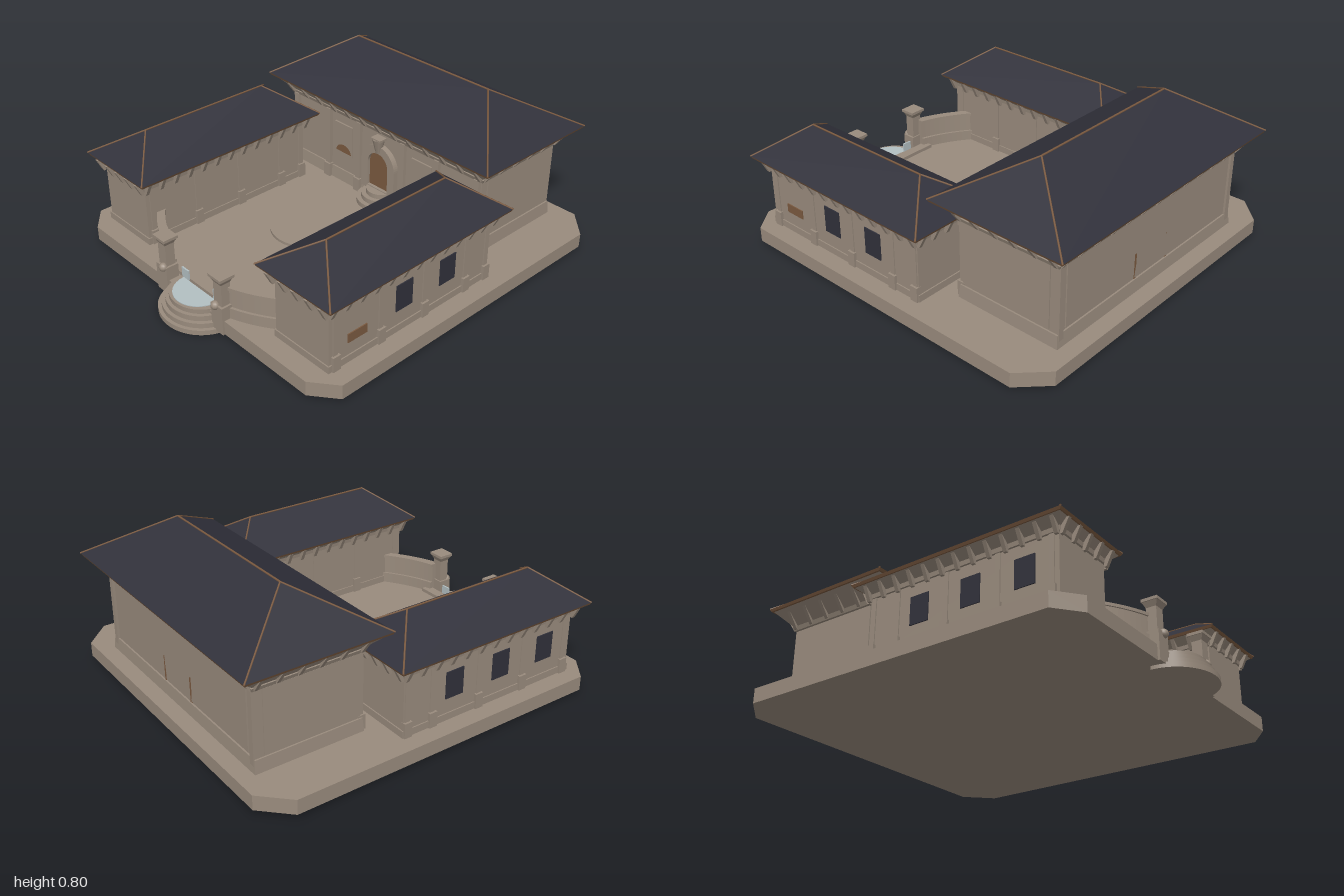
import * as THREE from 'three';

const mat = (name, color) => {
  const m = new THREE.MeshStandardMaterial({ color });
  m.name = name;
  return m;
};

export function createModel() {
  const stone = mat('stone', 0x998b7d);
  const slate = mat('slate', 0x31313b);
  const wood = mat('wood', 0x7b5a40);
  const water = mat('water', 0xb3bfc2);

  const root = new THREE.Group();
  root.name = 'courtyardHouse';
  const group = (name) => {
    const g = new THREE.Group();
    g.name = name;
    root.add(g);
    return g;
  };
  const add = (parent, name, geo, m) => {
    const mesh = new THREE.Mesh(geo, m);
    mesh.name = name;
    parent.add(mesh);
    return mesh;
  };
  // Box from centre x, z, bottom y and sizes
  const box = (p, name, m, x, y, z, w, h, d) => {
    const b = add(p, name, new THREE.BoxGeometry(w, h, d), m);
    b.position.set(x, y + h / 2, z);
    return b;
  };

  // Sloped block between two rectangles [x0, x1, z0, z1]
  const frustum = (a, y0, b, y1) => {
    const ring = (r, y) => [[r[0], y, r[3]], [r[1], y, r[3]], [r[1], y, r[2]], [r[0], y, r[2]]];
    const lo = ring(a, y0), hi = ring(b, y1), pos = [];
    const quad = (p, q, r, s) => {
      for (const v of [p, q, r, p, r, s]) pos.push(...v);
    };
    for (let i = 0; i < 4; i++) {
      const j = (i + 1) % 4;
      quad(lo[i], lo[j], hi[j], hi[i]);
    }
    quad(...hi);
    quad(lo[3], lo[2], lo[1], lo[0]);
    const g = new THREE.BufferGeometry();
    g.setAttribute('position', new THREE.Float32BufferAttribute(pos, 3));
    g.computeVertexNormals();
    return g;
  };
  const grow = (r, d) => [r[0] - d, r[1] + d, r[2] - d, r[3] + d];

  // Thin rod between two points
  const rod = (p, name, a, b, radius, m) => {
    const A = new THREE.Vector3(...a), B = new THREE.Vector3(...b);
    const d = B.clone().sub(A);
    const c = add(p, name, new THREE.CylinderGeometry(radius, radius, d.length(), 6), m);
    c.position.copy(A).add(B).multiplyScalar(0.5);
    c.quaternion.setFromUnitVectors(new THREE.Vector3(0, 1, 0), d.normalize());
  };

  // Hipped roof with wooden fascia, hip and ridge trims
  const hipRoof = (p, eave, y0, ridge, y1) => {
    add(p, 'fascia', frustum(grow(eave, -0.006), y0 - 0.012, eave, y0), wood);
    add(p, 'roof', frustum(eave, y0, ridge, y1), slate);
    for (const i of [0, 1]) for (const j of [2, 3])
      rod(p, 'hipTrim', [eave[i], y0, eave[j]], [ridge[i], y1, ridge[j]], 0.0045, wood);
    rod(p, 'ridgeTrim', [ridge[0], y1, ridge[2]], [ridge[1], y1, ridge[3]], 0.005, wood);
  };

  // Sloped brackets along all four sides under an eave
  const brackets = (p, body, y, h, out, step) => {
    const prof = new THREE.Shape([[0, 0], [0.012, 0], [out, h], [0, h]].map((v) => new THREE.Vector2(...v)));
    const geo = new THREE.ExtrudeGeometry(prof, { depth: 0.018, bevelEnabled: false }).translate(0, 0, -0.009);
    const put = (x, z, ang) => {
      const b = add(p, 'eaveBracket', geo, stone);
      b.position.set(x, y, z);
      b.rotation.y = ang;
    };
    const nx = Math.round((body[1] - body[0]) / step), nz = Math.round((body[3] - body[2]) / step);
    for (let i = 0; i <= nx; i++) {
      const x = THREE.MathUtils.lerp(body[0] + 0.01, body[1] - 0.01, i / nx);
      put(x, body[3], -Math.PI / 2);
      put(x, body[2], Math.PI / 2);
    }
    for (let i = 0; i <= nz; i++) {
      const z = THREE.MathUtils.lerp(body[2] + 0.01, body[3] - 0.01, i / nz);
      put(body[1], z, 0);
      put(body[0], z, Math.PI);
    }
  };

  const halfDisc = (r, h) => new THREE.CylinderGeometry(r, r, h, 32, 1, false, -Math.PI / 2, Math.PI);

  // Chamfered terrace slab
  const plan = [[-0.77, -0.99], [0.77, -0.99], [0.9, -0.86], [0.9, 0.76], [0.78, 0.855], [-0.78, 0.855], [-0.9, 0.76], [-0.9, -0.86]];
  const slab = new THREE.Shape(plan.map(([x, z]) => new THREE.Vector2(x, -z)));
  add(root, 'terrace', new THREE.ExtrudeGeometry(slab, { depth: 0.073, bevelEnabled: false }).rotateX(-Math.PI / 2).translate(0, 0.017, 0), stone);

  // Main hall
  const hall = group('mainHall');
  const hb = [-0.65, 0.65, -0.895, -0.365], he = [-0.755, 0.755, -0.995, -0.265];
  add(hall, 'walls', frustum(hb, 0.09, hb, 0.51), stone);
  add(hall, 'plinth', frustum(grow(hb, 0.014), 0.09, grow(hb, 0.008), 0.155), stone);
  add(hall, 'cornice', frustum(grow(hb, 0.012), 0.485, grow(hb, 0.02), 0.505), stone);
  add(hall, 'eaveCove', frustum(grow(hb, 0.012), 0.505, grow(he, -0.015), 0.58), stone);
  brackets(hall, grow(hb, 0.008), 0.49, 0.08, 0.07, 0.11);
  hipRoof(hall, he, 0.592, [-0.44, 0.44, -0.622, -0.622], 0.8);

  for (const s of [-1, 1]) {
    box(hall, 'sidePanel', stone, s * 0.651, 0.165, -0.63, 0.01, 0.315, 0.45);
    box(hall, 'backSlit', wood, s * 0.12, 0.16, -0.897, 0.014, 0.13, 0.008);
    box(hall, 'frontPanel', stone, s * 0.275, 0.25, -0.363, 0.13, 0.18, 0.012);
    const vent = add(hall, 'archedVent', new THREE.CircleGeometry(0.055, 16, 0, Math.PI), wood);
    vent.position.set(s * 0.27, 0.265, -0.355);
    vent.scale.y = 0.8;
    for (const x of [0.155, 0.38, 0.63]) {
      box(hall, 'pilaster', stone, s * x, 0.09, -0.36, 0.03, 0.4, 0.03);
      box(hall, 'pilasterBase', stone, s * x, 0.09, -0.355, 0.044, 0.075, 0.04);
    }
    box(hall, 'backPilaster', stone, s * 0.635, 0.09, -0.895, 0.03, 0.4, 0.022);
  }
  box(hall, 'backPanel', stone, 0, 0.165, -0.896, 1.2, 0.315, 0.01);

  // Arched doorway with keystone
  const arch = (r, y0, y1) => {
    const s = new THREE.Shape();
    s.moveTo(-r, y0).lineTo(r, y0).lineTo(r, y1);
    s.absarc(0, y1, r, 0, Math.PI, false);
    return s;
  };
  const frame = arch(0.115, 0.15, 0.305);
  frame.holes.push(arch(0.07, 0.17, 0.305));
  add(hall, 'doorFrame', new THREE.ExtrudeGeometry(frame, { depth: 0.03, bevelEnabled: false, curveSegments: 16 }), stone).position.z = -0.365;
  add(hall, 'door', new THREE.ShapeGeometry(arch(0.072, 0.165, 0.305), 16), wood).position.z = -0.352;
  const key = add(hall, 'keystone', new THREE.CylinderGeometry(0.034, 0.014, 0.08, 8), stone);
  key.position.set(0, 0.42, -0.34);
  box(hall, 'keystoneCap', stone, 0, 0.455, -0.34, 0.065, 0.012, 0.05);
  [0.13, 0.105, 0.08].forEach((r, i) => {
    const st = add(hall, 'doorStep', halfDisc(r, 0.025 * (i + 1)), stone);
    st.position.set(0, 0.09 + 0.0125 * (i + 1), -0.37);
  });

  // Side wings
  for (const s of [-1, 1]) {
    const wing = group(s > 0 ? 'leftWing' : 'rightWing');
    const rect = (a, b, c, d) => (s > 0 ? [a, b, c, d] : [-b, -a, c, d]);
    const wb = rect(0.475, 0.805, -0.25, 0.75), we = rect(0.41, 0.875, -0.315, 0.805);
    add(wing, 'walls', frustum(wb, 0.09, wb, 0.42), stone);
    add(wing, 'plinth', frustum(grow(wb, 0.006), 0.09, grow(wb, 0.006), 0.125), stone);
    add(wing, 'cornice', frustum(grow(wb, 0.01), 0.395, grow(wb, 0.014), 0.42), stone);
    add(wing, 'eaveCove', frustum(grow(wb, 0.014), 0.415, grow(we, -0.012), 0.448), stone);
    brackets(wing, grow(wb, 0.008), 0.378, 0.066, 0.045, 0.083);
    hipRoof(wing, we, 0.46, rect(0.64, 0.64, -0.11, 0.61), 0.605);

    // Outer windows and a low vent or third window
    for (const z of [0.035, 0.31]) box(wing, 'window', slate, s * 0.806, 0.2, z, 0.008, 0.135, 0.1);
    if (s > 0) box(wing, 'wallVent', wood, 0.806, 0.19, 0.588, 0.008, 0.045, 0.11);
    else box(wing, 'window', slate, -0.806, 0.2, 0.585, 0.008, 0.135, 0.1);
    for (const z of [-0.23, -0.09, 0.18, 0.45, 0.715]) {
      for (const x of [0.475, 0.805]) {
        box(wing, 'pilasterBase', stone, s * x, 0.09, z, 0.03, 0.075, 0.042);
        box(wing, 'pilaster', stone, s * x, 0.09, z, 0.01, 0.31, 0.026);
      }
    }
  }

  // Curved court walls and gate pillars
  const gate = group('gate');
  const curvedWall = (s, t, y, h, name) => {
    const sh = new THREE.Shape();
    sh.moveTo(s * 0.22, -0.8 - t).quadraticCurveTo(s * 0.35, -0.765 - t, s * 0.48, -0.665 - t);
    sh.lineTo(s * 0.48, -0.665 + t).quadraticCurveTo(s * 0.35, -0.765 + t, s * 0.22, -0.8 + t);
    const g = new THREE.ExtrudeGeometry(sh, { depth: h, bevelEnabled: false, curveSegments: 10 });
    add(gate, name, g.rotateX(-Math.PI / 2).translate(0, y, 0), stone);
  };
  for (const s of [-1, 1]) {
    curvedWall(s, 0.03, 0.09, 0.055, 'wallBase');
    curvedWall(s, 0.016, 0.145, 0.09, 'courtWall');
    curvedWall(s, 0.024, 0.235, 0.015, 'wallCap');
    box(gate, 'pillarBase', stone, s * 0.207, 0.017, 0.832, 0.078, 0.143, 0.068);
    box(gate, 'pillar', stone, s * 0.207, 0.16, 0.83, 0.056, 0.125, 0.05);
    const r = [s * 0.207 - 0.028, s * 0.207 + 0.028, 0.805, 0.855];
    add(gate, 'pillarFlare', frustum(r, 0.275, grow(r, 0.012), 0.3), stone);
    box(gate, 'pillarCap', stone, s * 0.207, 0.3, 0.83, 0.088, 0.014, 0.08);
    const ball = add(gate, 'pillarKnob', new THREE.SphereGeometry(0.022, 12, 8), stone);
    ball.position.set(s * 0.195, 0.155, 0.862);
    box(gate, 'waterSheet', water, s * 0.117, 0.1, 0.794, 0.05, 0.053, 0.008);
  }
  box(gate, 'threshold', stone, 0, 0.09, 0.765, 0.5, 0.018, 0.05);

  // Half-round front steps around a shallow pool
  const steps = group('frontSteps');
  [[0.192, 0.025], [0.175, 0.05], [0.157, 0.077], [0.14, 0.1]].forEach(([r, h]) => {
    const st = add(steps, 'step', halfDisc(r, h), stone);
    st.position.set(0, h / 2, 0.8);
    st.scale.x = 1.1;
  });
  add(steps, 'pool', halfDisc(0.128, 0.006), water).position.set(0, 0.101, 0.8);

  // Round courtyard table
  const table = group('table');
  add(table, 'tableTop', new THREE.CylinderGeometry(0.182, 0.182, 0.014, 40), stone).position.set(0, 0.153, 0.145);
  add(table, 'tableLeg', new THREE.CylinderGeometry(0.045, 0.055, 0.06, 16), stone).position.set(0, 0.118, 0.145);

  return root;
}
